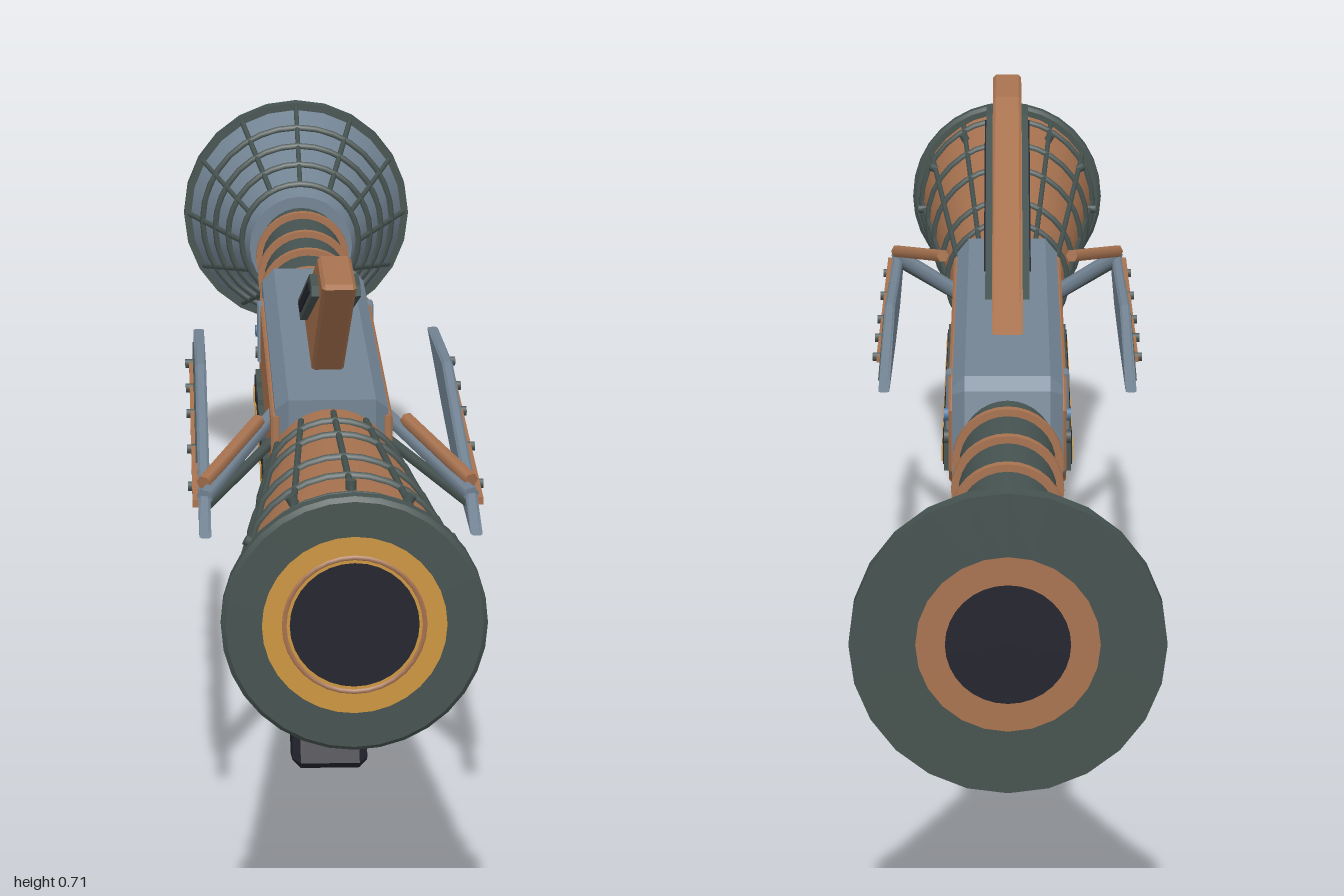
import * as THREE from 'three';
import { toCreasedNormals } from 'three/addons/utils/BufferGeometryUtils.js';

const AXIS = 0.435; // height of the barrel axis
const mat = (name, color, side = THREE.FrontSide) => {
  const m = new THREE.MeshStandardMaterial({ color, side });
  m.name = name;
  return m;
};

export function createModel() {
  const root = new THREE.Group();
  root.name = 'launcher';
  const slate = mat('slate', 0x738494), copper = mat('copper', 0xa87350), gunmetal = mat('gunmetal', 0x465350);
  const black = mat('black', 0x23232e), gold = mat('gold', 0xcc9540), blue = mat('blue', 0x4a78a0);

  const add = (name, geo, material, x = 0, y = 0, z = 0) => {
    const m = new THREE.Mesh(geo, material);
    m.name = name;
    m.position.set(x, y, z);
    root.add(m);
    return m;
  };
  // Side outline given as [z, y] points, extruded to a width along x
  const plate = (name, pts, width, bevel, material, x = 0) => {
    const shape = new THREE.Shape(pts.map(p => new THREE.Vector2(p[0], p[1])));
    const depth = width - 2 * bevel;
    const geo = new THREE.ExtrudeGeometry(shape, {
      depth, bevelEnabled: bevel > 0, bevelSize: bevel, bevelThickness: bevel, bevelOffset: -bevel, bevelSegments: 1,
    });
    geo.translate(0, 0, -depth / 2).rotateY(-Math.PI / 2);
    return add(name, geo, material, x);
  };
  // Round part about the barrel axis, profile given as [radius, z] from back to front
  const turned = (name, pts, segments, material) => {
    const lathe = new THREE.LatheGeometry(pts.map(p => new THREE.Vector2(p[0], p[1])), segments);
    return add(name, toCreasedNormals(lathe.rotateX(Math.PI / 2), 0.5), material, 0, AXIS, 0);
  };
  const rod = (name, a, b, r, material, sides = 6) => {
    const from = new THREE.Vector3(...a), to = new THREE.Vector3(...b);
    const dir = to.clone().sub(from);
    const m = add(name, new THREE.CylinderGeometry(r, r, dir.length(), sides), material);
    m.position.copy(from).add(to).multiplyScalar(0.5);
    m.quaternion.setFromUnitVectors(new THREE.Vector3(0, 1, 0), dir.normalize());
    return m;
  };
  const ring = (name, r, z, tube, material) => add(name, new THREE.TorusGeometry(r, tube, 6, 32), material, 0, AXIS, z);
  const onAxis = (r, a, z) => [r * Math.cos(a), AXIS + r * Math.sin(a), z];
  // Cage of hoops, ribs and rivets around a cone
  const cage = (name, r0, z0, r1, z1, hoops, rivets) => {
    const radius = z => r0 + (r1 - r0) * (z - z0) / (z1 - z0);
    hoops.forEach(z => ring(name + 'Hoop', radius(z) + 0.002, z, 0.005, gunmetal));
    for (let i = 0; i < 12; i++) {
      const a = (i / 12) * Math.PI * 2;
      rod(name + 'Rib', onAxis(r0 + 0.002, a, z0), onAxis(r1 + 0.002, a, z1), 0.004, gunmetal);
      rivets.forEach(z => {
        const r = radius(z);
        rod(name + 'Rivet', onAxis(r, a, z), onAxis(r + 0.011, a, z), 0.006, gunmetal, 8);
      });
    }
  };

  // Front horn with rim and muzzle
  turned('frontHorn', [[0, 0.36], [0.072, 0.36], [0.075, 0.42], [0.131, 0.98], [0, 0.98]], 32, copper);
  cage('frontHorn', 0.076, 0.43, 0.13, 0.972, [0.49, 0.58, 0.72, 0.83, 0.94], [0.9]);
  turned('frontRim', [[0.1, 0.975], [0.139, 0.975], [0.144, 0.98], [0.144, 0.995], [0.139, 1], [0.1, 1]], 32, gunmetal);
  turned('muzzleRing', [[0.07, 0.98], [0.107, 0.98], [0.107, 0.9985], [0.07, 0.9985]], 32, gold);
  ring('muzzleLip', 0.076, 0.996, 0.004, copper);
  add('muzzleBore', new THREE.CircleGeometry(0.075, 32), black, 0, AXIS, 0.997);

  // Rear tube and copper bands
  turned('rearTube', [[0, -0.79], [0.059, -0.79], [0.059, -0.27], [0, -0.27]], 32, gunmetal);
  [-0.35, -0.46, -0.57, -0.69].forEach(z =>
    turned('tubeBand', [[0.055, z - 0.006], [0.068, z - 0.006], [0.068, z + 0.006], [0.055, z + 0.006]], 32, copper));

  // Rear horn with rim and exhaust
  turned('rearHorn', [[0, -0.985], [0.164, -0.985], [0.083, -0.79], [0.076, -0.755], [0, -0.755]], 24, slate);
  cage('rearHorn', 0.162, -0.98, 0.083, -0.79, [-0.93, -0.885, -0.84, -0.793], []);
  turned('rearRim', [[0.1, -1], [0.172, -1], [0.172, -0.978], [0.1, -0.978]], 24, gunmetal);
  turned('exhaustRing', [[0.068, -0.999], [0.11, -0.999], [0.11, -0.98], [0.068, -0.98]], 32, copper)
    .position.z = -0.0008;
  add('exhaustBore', new THREE.CircleGeometry(0.072, 32), black, 0, AXIS, -0.9985).rotation.y = Math.PI;

  // Receiver body
  plate('body', [[0.4, 0.33], [-0.265, 0.33], [-0.312, 0.388], [-0.288, 0.505], [-0.272, 0.52], [0.4, 0.52]],
    0.138, 0.016, slate);

  // Top fin with inset side strips
  plate('topFin', [[-0.1, 0.515], [0.25, 0.515], [0.597, 0.706], [0.59, 0.711], [0.45, 0.711]], 0.04, 0.004, copper);

  for (const s of [-1, 1]) {
    plate('finStrip', [[0, 0.543], [0.1, 0.543], [0.515, 0.678], [0.5, 0.687], [0.44, 0.687]], 0.01, 0, gunmetal, s * 0.024);
    plate('finStripInlay', [[0.08, 0.559], [0.13, 0.561], [0.47, 0.673], [0.43, 0.675]], 0.004, 0, black, s * 0.029);

    // Side panel with vents and bolts
    plate('sidePanel', [[0.39, 0.352], [-0.18, 0.352], [-0.238, 0.385], [-0.25, 0.468], [-0.2, 0.497], [0.39, 0.497]],
      0.012, 0.003, copper, s * 0.068);
    for (let i = 0; i < 6; i++) {
      const z = 0.326 - i * 0.091;
      add('ventFrame', new THREE.BoxGeometry(0.014, 0.046, 0.066), gunmetal, s * 0.074, 0.385, z);
      add('ventSlot', new THREE.BoxGeometry(0.004, 0.034, 0.052), black, s * 0.0805, 0.385, z);
      add('ventGlow', new THREE.BoxGeometry(0.004, 0.02, 0.038), gold, s * 0.082, 0.38, z);
    }
    plate('panelClasp', [[-0.15, 0.42], [-0.175, 0.42], [-0.185, 0.497], [-0.16, 0.497]], 0.01, 0.002, slate, s * 0.073);
    for (const y of [0.42, 0.45])
      rod('panelBolt', [s * 0.07, y, -0.205], [s * 0.08, y, -0.205], 0.008, y > 0.43 ? blue : gunmetal, 8);

    // Side wing blade with inlay, copper strip and rivets
    plate('wingBlade', [[-0.16, 0.465], [0.14, 0.497], [0.35, 0.472], [0.57, 0.452], [0.66, 0.428], [0.4, 0.42], [0.15, 0.436]],
      0.014, 0.003, slate, s * 0.157);
    plate('wingInlay', [[-0.1, 0.463], [0.14, 0.479], [0.42, 0.452], [0.56, 0.439], [0.4, 0.434], [0.15, 0.449]],
      0.004, 0, gunmetal, s * 0.164);
    plate('wingStrip', [[0, 0.466], [0.3, 0.455], [0.57, 0.447], [0.57, 0.438], [0.3, 0.443], [0, 0.458]],
      0.008, 0, copper, s * 0.167);
    for (const z of [0.01, 0.115, 0.22, 0.36, 0.5])
      rod('wingRivet', [s * 0.165, 0.463 - z * 0.04, z], [s * 0.176, 0.463 - z * 0.04, z], 0.006, gunmetal, 8);

    // Wing struts
    rod('wingStrut', [s * 0.062, 0.475, 0.27], [s * 0.157, 0.45, 0.57], 0.01, slate);
    rod('wingStrutBrace', [s * 0.065, 0.455, 0.33], [s * 0.155, 0.44, 0.57], 0.007, gunmetal);
    rod('wingStrutInner', [s * 0.09, 0.495, 0.4], [s * 0.158, 0.462, 0.55], 0.009, copper);

    // Grip ridges
    for (let i = 0; i < 4; i++) {
      const y = 0.125 + i * 0.034, z = 0.252 - i * 0.012;
      rod('gripRidge', [s * 0.047, y - 0.008, z + 0.03], [s * 0.047, y + 0.008, z - 0.025], 0.0045, gunmetal);
    }
  }

  // Main grip and rear foregrip
  plate('grip', [[0.25, 0.325], [0.262, 0.31], [0.346, 0.032], [0.335, 0.022], [0.248, 0], [0.232, 0.006], [0.135, 0.29], [0.135, 0.335], [0.25, 0.335]],
    0.094, 0.01, black);
  plate('rearGrip', [[-0.29, 0.372], [-0.366, 0.143], [-0.44, 0.143], [-0.495, 0.372]], 0.09, 0.01, black);

  // Trigger and guard
  const guard = [[0, 0.205, 0.14], [0, 0.205, 0.008], [0, 0.335, 0.008]];
  rod('triggerGuard', guard[0], guard[1], 0.008, gunmetal, 8);
  rod('triggerGuard', guard[1], guard[2], 0.008, gunmetal, 8);
  add('triggerGuardCorner', new THREE.SphereGeometry(0.008, 8, 6), gunmetal, ...guard[1]);
  rod('trigger', [0, 0.335, 0.092], [0, 0.262, 0.105], 0.007, gunmetal, 8);

  return root;
}
